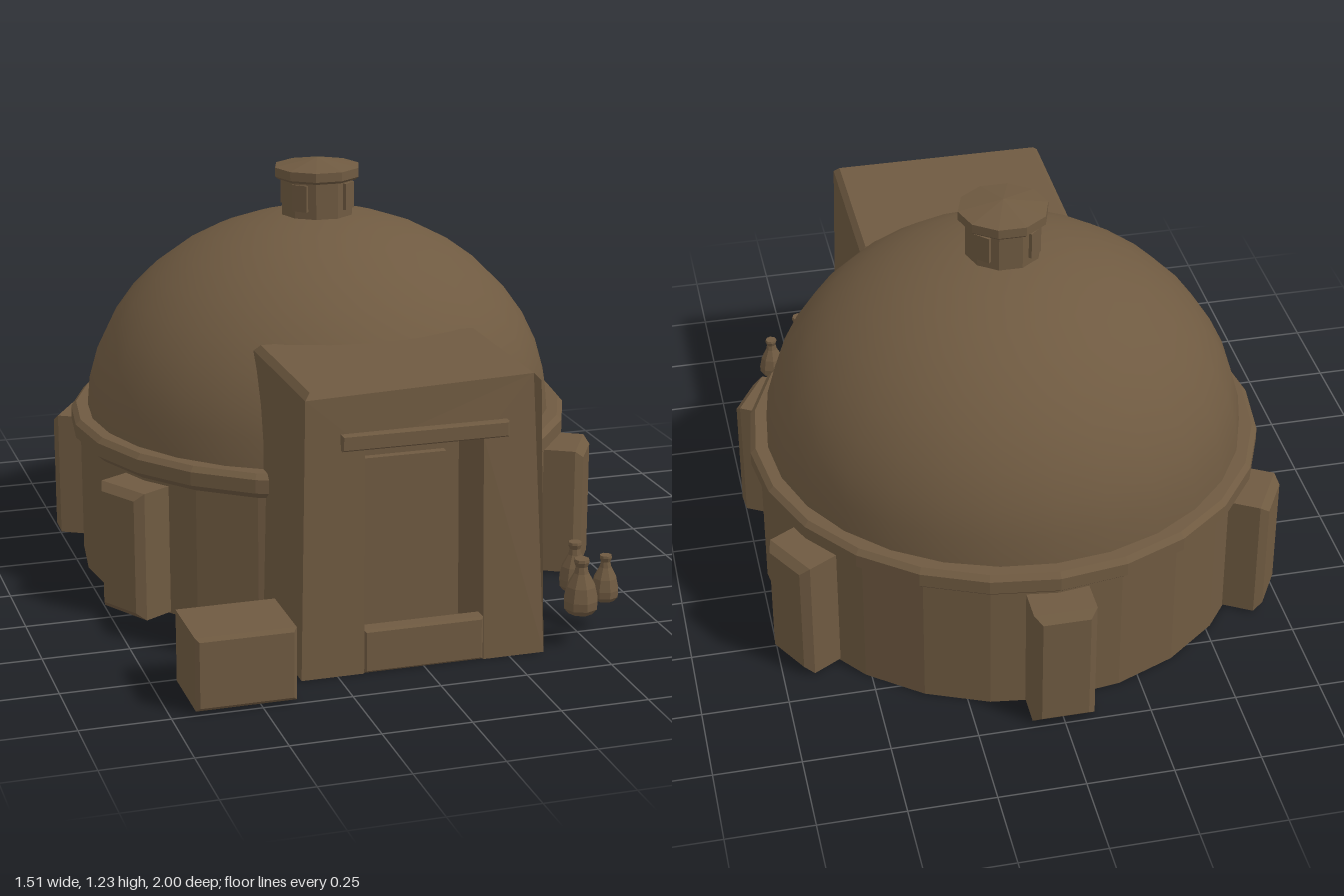
import * as THREE from 'three';

const clay = new THREE.MeshStandardMaterial({ color: 0x6f5a41, side: THREE.DoubleSide });
clay.name = 'brown clay';

const CZ = -0.165; // centre of the round house along z

function add(parent, name, geometry, x = 0, y = 0, z = 0) {
  const mesh = new THREE.Mesh(geometry, clay);
  mesh.name = name;
  mesh.position.set(x, y, z);
  parent.add(mesh);
  return mesh;
}

function faceted(geometry) {
  const g = geometry.index ? geometry.toNonIndexed() : geometry;
  g.computeVertexNormals();
  return g;
}

const vec = (points) => points.map(([x, y]) => new THREE.Vector2(x, y));
const lathe = (points, sides) => faceted(new THREE.LatheGeometry(vec(points), sides));

// Box with chamfered edges, centred on its origin
function chamferBox(w, h, d, b) {
  const x = w / 2 - b, y = h / 2 - b;
  const shape = new THREE.Shape(vec([[-x, -y], [x, -y], [x, y], [-x, y]]));
  const g = new THREE.ExtrudeGeometry(shape, {
    depth: d - 2 * b, bevelEnabled: true, bevelSegments: 1, bevelSize: b, bevelThickness: b,
  });
  return g.translate(0, 0, -(d - 2 * b) / 2);
}

// Portal slice between two depths; walls lean inwards towards the top
function portalSlice(points, z0, z1) {
  const back = 0.31, front = 0.86;
  const g = new THREE.ExtrudeGeometry(new THREE.Shape(vec(points)), { depth: z1 - z0, bevelEnabled: false });
  g.translate(0, 0, z0);
  const p = g.attributes.position;
  for (let i = 0; i < p.count; i++) {
    const y = p.getY(i), t = (p.getZ(i) - back) / (front - back);
    const inset = y > 0.8 ? 0.015 : 0;
    const b = back + 0.02 * y + inset, f = front - 0.022 * y - inset;
    p.setZ(i, b + t * (f - b));
  }
  g.computeVertexNormals();
  return g;
}

export function createModel() {
  const model = new THREE.Group();
  model.name = 'domedHouse';

  // Round house: open drum, rim and dome
  const house = new THREE.Group();
  house.name = 'roundHouse';
  house.position.z = CZ;
  model.add(house);
  add(house, 'drumWall', lathe([[0.73, 0], [0.73, 0.42]], 24));
  add(house, 'rim', lathe([[0.69, 0.4], [0.735, 0.4], [0.757, 0.42], [0.757, 0.46], [0.742, 0.475], [0.69, 0.475], [0.69, 0.4]], 24));
  const arc = [];
  for (let i = 0; i <= 10; i++) {
    const a = (i / 10) * Math.PI / 2;
    arc.push([Math.max(0.706 * Math.cos(a), 0), 0.465 + 0.605 * Math.sin(a)]);
  }
  add(house, 'dome', new THREE.LatheGeometry(vec(arc), 28));

  // Buttresses every 60 degrees, leaving out the portal side
  for (let i = 1; i < 6; i++) {
    const a = i * Math.PI / 3;
    const r = 0.745;
    const b = add(house, 'buttress', chamferBox(0.18, 0.385, 0.18, 0.022), r * Math.sin(a), 0.1975, r * Math.cos(a));
    b.rotation.y = a;
  }

  // Roof vent with small side openings and a shallow pointed cap
  const vent = new THREE.Group();
  vent.name = 'roofVent';
  house.add(vent);
  const body = lathe([[0.11, 1.03], [0.11, 1.18]], 10);
  add(vent, 'ventBody', body).rotation.y = Math.PI / 2;
  const cap = lathe([[0, 1.172], [0.122, 1.172], [0.131, 1.18], [0.131, 1.207], [0, 1.232]], 10);
  add(vent, 'ventCap', cap).rotation.y = Math.PI / 2;
  for (let i = 0; i < 4; i++) {
    const a = Math.PI / 4 + i * Math.PI / 2;
    const o = add(vent, 'ventOpening', new THREE.BoxGeometry(0.05, 0.08, 0.03), 0.097 * Math.sin(a), 1.125, 0.097 * Math.cos(a));
    o.rotation.y = a;
  }

  // Entrance portal: solid rear block and a front slice with the doorway notch
  const portal = new THREE.Group();
  portal.name = 'portal';
  model.add(portal);
  const roofLine = [[0.353, 0], [0.335, 0.79], [0.318, 0.808], [-0.318, 0.808], [-0.335, 0.79], [-0.353, 0]];
  add(portal, 'portalRear', portalSlice(roofLine, 0.31, 0.65));
  add(portal, 'portalFront', portalSlice([...roofLine, [-0.174, 0], [-0.169, 0.645], [0.169, 0.645], [0.174, 0]], 0.65, 0.86));
  add(portal, 'door', new THREE.BoxGeometry(0.25, 0.535, 0.03), 0, 0.2875, 0.655);
  add(portal, 'lintel', chamferBox(0.475, 0.045, 0.04, 0.004), 0, 0.667, 0.844);

  // Steps leading down to the door
  for (let i = 0; i < 4; i++) {
    const h = 0.125 - i * 0.028;
    add(portal, 'step', chamferBox(0.346, h, 0.052, 0.006), 0, h / 2, 0.835 - i * 0.052);
  }

  // Chest beside the entrance
  add(model, 'chest', chamferBox(0.278, 0.207, 0.235, 0.01), -0.5425, 0.1115, 0.8825);

  // Three jars on the other side
  const jar = [[0, 0], [0.7, 0], [0.97, 0.1], [1, 0.25], [0.82, 0.5], [0.42, 0.74], [0.34, 0.86], [0.45, 0.95], [0.42, 1], [0, 1]];
  for (const [x, y, z, r, h] of [[0.473, 0.095, 0.832, 0.051, 0.16], [0.578, 0.093, 0.757, 0.041, 0.135], [0.52, 0.098, 0.668, 0.046, 0.145]]) {
    add(model, 'jar', lathe(jar.map(([u, v]) => [u * r, v * h]), 8), x, y, z);
  }

  return model;
}
